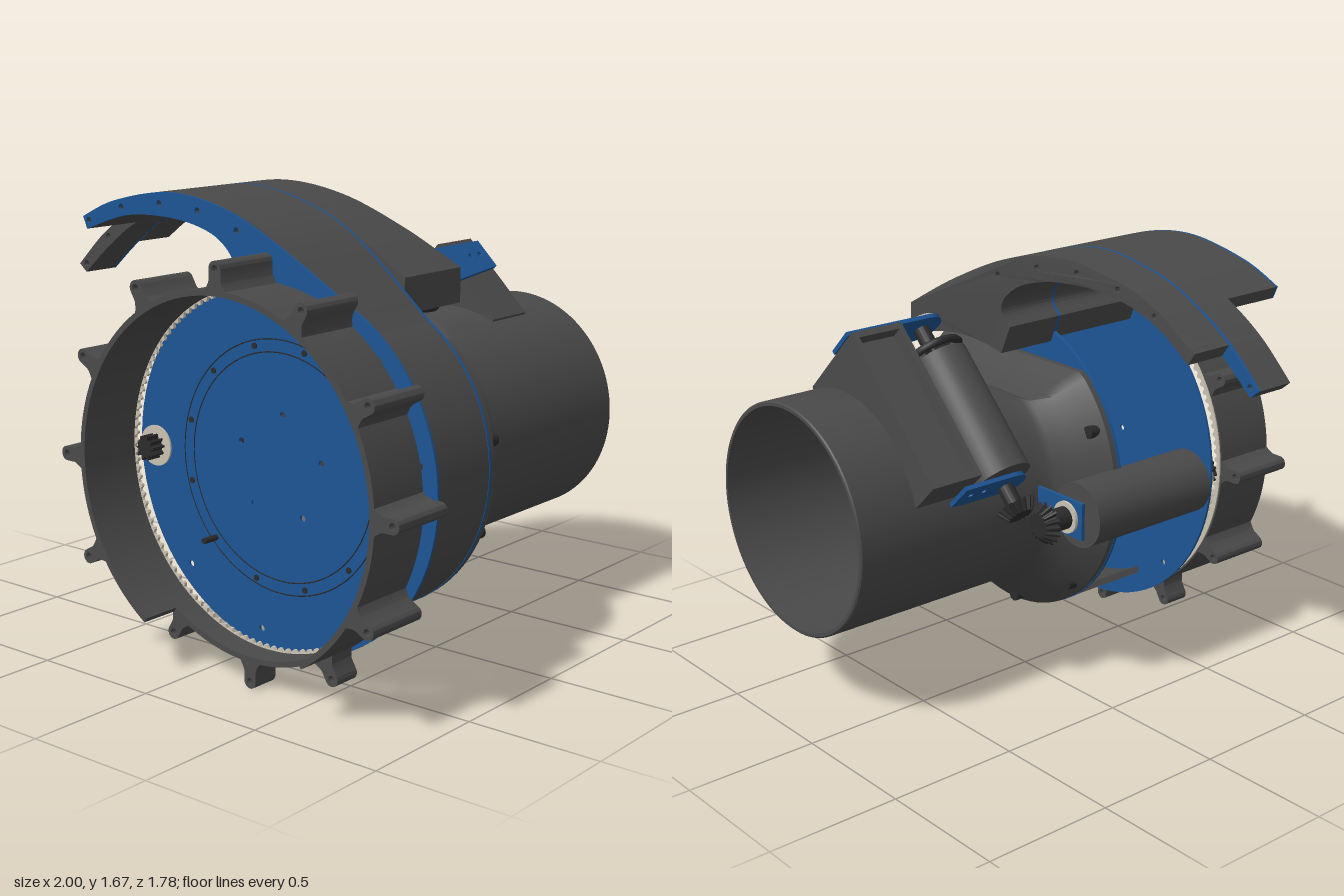
import * as THREE from 'three';
import { toCreasedNormals } from 'three/addons/utils/BufferGeometryUtils.js';

const CX = 0.247, CY = 0.752, RAD = Math.PI / 180;
const A0 = 56.5 * RAD, A1 = 111.8 * RAD; // where the tail meets the drum
const mat = (color) => new THREE.MeshStandardMaterial({ color, side: THREE.DoubleSide });
const DARK = mat(0x4a4a4a), BLUE = mat(0x1d5594), PALE = mat(0xcac2b2), BLACK = mat(0x2b2b2b);

const v2 = (list) => list.map(([x, y]) => new THREE.Vector2(x, y));
const polar = (r, a) => [CX + r * Math.cos(a), CY + r * Math.sin(a)];

// Tail outline: outer edge left to right, inner edge right to left
const OUTER = [[-1, 1.32], [-0.86, 1.45], [-0.7, 1.55], [-0.53, 1.62], [-0.26, 1.665], [0, 1.625], [0.25, 1.515]];
const INNER = [[0, 1.37], [0.04, 1.42], [0.02, 1.48], [-0.07, 1.54], [-0.24, 1.575], [-0.47, 1.57],
  [-0.68, 1.505], [-0.83, 1.405], [-0.965, 1.29]];
const TAIL_HOLES = [[0.056, 1.555], [-0.125, 1.61], [-0.31, 1.622], [-0.5, 1.597], [-0.67, 1.537], [-0.838, 1.44], [-0.962, 1.325]];

function createMesh(parent, name, geo, material, crease = 0.5) {
  const m = new THREE.Mesh(crease ? toCreasedNormals(geo, crease) : geo, material);
  m.name = name;
  parent.add(m);
  return m;
}

function extrude(shape, z0, z1, curveSegments = 32) {
  return new THREE.ExtrudeGeometry(shape, { depth: z1 - z0, bevelEnabled: false, curveSegments }).translate(0, 0, z0);
}

// Cylinder lying along z
function rod(x, y, r, z0, z1, n = 32) {
  return new THREE.CylinderGeometry(r, r, z1 - z0, n).rotateX(Math.PI / 2).translate(x, y, (z0 + z1) / 2);
}

function punch(shape, points, r = 0.012) {
  for (const [x, y] of points) {
    const h = new THREE.Path();
    h.absarc(x, y, r, 0, Math.PI * 2, true);
    shape.holes.push(h);
  }
}

// Drum and tail outline; innerR turns the disc into a wall, open on one side
function scrollShape(r, short, innerR) {
  const outer = short ? OUTER.slice(2) : OUTER;
  const inner = short ? INNER.slice(0, 7) : INNER;
  const s = new THREE.Shape();
  s.moveTo(...outer[0]);
  s.splineThru(v2([...outer.slice(1), polar(r, A0)]));
  if (innerR) {
    s.absarc(CX, CY, r, A0, -120 * RAD, true);
    s.absarc(CX, CY, innerR, -120 * RAD, A1, false);
  } else s.absarc(CX, CY, r, A0, A1 - Math.PI * 2, true);
  s.lineTo(...inner[0]);
  s.splineThru(v2(inner.slice(1)));
  s.closePath();
  punch(s, short ? TAIL_HOLES.slice(0, 5) : TAIL_HOLES);
  return s;
}

function toothPoints(n, r0, r1) {
  const pts = [];
  for (let i = 0; i < n * 4; i++) {
    const a = (i / (n * 4)) * Math.PI * 2, r = i % 4 < 2 ? r1 : r0;
    pts.push(new THREE.Vector2(r * Math.cos(a), r * Math.sin(a)));
  }
  return pts;
}

// Gear around z from 0 to depth; taper scales the far end for a bevel gear
function gear(n, r0, r1, depth, taper = 1) {
  const g = extrude(new THREE.Shape(toothPoints(n, r0, r1)), 0, depth);
  const p = g.attributes.position;
  for (let i = 0; i < p.count; i++) {
    const k = p.getZ(i) > depth / 2 ? taper : 1;
    p.setXY(i, p.getX(i) * k, p.getY(i) * k);
  }
  return g;
}

function arcBand(r0, r1, a0, a1) {
  const s = new THREE.Shape();
  s.absarc(0, 0, r1, a0, a1, false);
  s.absarc(0, 0, r0, a1, a0, true);
  return s;
}

function buildRing(parent) {
  const ring = new THREE.Group();
  ring.name = 'lugRing';
  ring.position.set(CX, CY, 0);
  parent.add(ring);
  createMesh(ring, 'ringBase', extrude(arcBand(0.636, 0.656, 0, Math.PI * 2), 0.637, 0.74, 64), DARK);
  createMesh(ring, 'ringWall', extrude(arcBand(0.636, 0.656, -57 * RAD, 237 * RAD), 0.74, 0.89, 64), DARK);
  // internal ring gear
  const teeth = new THREE.Shape();
  teeth.absarc(0, 0, 0.65, 0, Math.PI * 2, false);
  teeth.holes.push(new THREE.Path(toothPoints(120, 0.622, 0.634)));
  createMesh(ring, 'ringGear', extrude(teeth, 0.632, 0.645, 64), PALE);
  // twelve lugs, three of them short
  for (let i = 0; i < 12; i++) {
    const lug = new THREE.Shape();
    lug.moveTo(0.645, -0.052);
    lug.quadraticCurveTo(0.675, -0.028, 0.69, -0.026);
    lug.absarc(0.726, 0, 0.026, -Math.PI / 2, Math.PI / 2, false);
    lug.lineTo(0.69, 0.026);
    lug.quadraticCurveTo(0.675, 0.028, 0.645, 0.052);
    punch(lug, [[0.726, 0]], 0.013);
    const short = i >= 8 && i <= 10;
    createMesh(ring, 'lug', extrude(lug, 0.637, short ? 0.74 : 0.89, 10), DARK).rotation.z = i * 30 * RAD;
  }
}

function buildHousing(g) {
  // front plate with its holes
  const front = scrollShape(0.668, true);
  punch(front, [78, 45, 10, -26, -62, -98.5, -135].map((a) => polar(0.605, a * RAD)));
  punch(front, [0, 1, 2, 3, 4].map((i) => polar(0.19, (14 + 72 * i) * RAD)));
  createMesh(g, 'frontPlate', extrude(front, 0.565, 0.575), BLUE);
  for (const r of [0.45, 0.405])
    createMesh(g, 'hubLine', new THREE.TorusGeometry(r, 0.0022, 4, 96).translate(CX, CY, 0.575), BLACK, 0);
  for (let i = 0; i < 12; i++) {
    const [x, y] = polar(0.43, (15 + 30 * i) * RAD);
    createMesh(g, 'hubBolt', rod(x, y, 0.011, 0.57, i === 7 ? 0.64 : 0.579, 12), BLACK);
  }
  // scroll wall in two depths, then the middle plate
  createMesh(g, 'scrollWallFront', extrude(scrollShape(0.592, true, 0.567), 0.32, 0.565), DARK);
  createMesh(g, 'scrollWallBack', extrude(scrollShape(0.592, false, 0.567), 0.175, 0.32), DARK);
  const middle = scrollShape(0.594, false);
  punch(middle, [[CX, CY]], 0.45);
  createMesh(g, 'middlePlate', extrude(middle, 0.163, 0.175), BLUE);

  // ramp behind the tail, deepening to the right
  const ramp = new THREE.Shape();
  ramp.moveTo(...OUTER[1]);
  ramp.splineThru(v2([...OUTER.slice(2), [0.465, 1.385]]));
  ramp.absarc(CX, CY, 0.55, 66.6 * RAD, A1, false);
  ramp.lineTo(...INNER[0]);
  ramp.splineThru(v2(INNER.slice(1, 8)));
  ramp.closePath();
  punch(ramp, TAIL_HOLES.slice(0, 5));
  const geo = extrude(ramp, 0, 1), p = geo.attributes.position;
  for (let i = 0; i < p.count; i++) {
    const t = Math.max(0, (p.getX(i) + 0.865) / 1.33), back = -0.17 * t * t;
    p.setZ(i, back + (0.163 - back) * p.getZ(i));
  }
  createMesh(g, 'ramp', geo, DARK);
}

// Cone and outlet pipe, flattened on top where the ramp passes
function buildPipe(g) {
  const prof = [[0.575, 0.163], [0.592, 0.163], [0.592, 0.14], [0.55, 0.094], [0.5, 0.038], [0.45, -0.018], [0.437, -0.045],
    [0.435, -0.1], [0.435, -0.15], [0.435, -0.2], [0.435, -0.885], [0.43, -0.89], [0.418, -0.89], [0.418, -0.2], [0.418, -0.15],
    [0.418, -0.1], [0.42, -0.045], [0.433, -0.018], [0.483, 0.038], [0.533, 0.094], [0.575, 0.14], [0.575, 0.163]];
  const geo = new THREE.LatheGeometry(v2(prof), 96).rotateX(Math.PI / 2).translate(CX, CY, 0);
  const p = geo.attributes.position;
  for (let i = 0; i < p.count; i++) {
    const z = p.getZ(i), inside = (i % prof.length) > 11 ? 0.015 : 0;
    const top = z > 0 ? 1.08 + Math.min(0.11, z * 0.79) : 1.08 + Math.max(0, -z * 0.55);
    if (z > -0.21) p.setY(i, Math.min(p.getY(i), top - inside));
  }
  createMesh(g, 'outletPipe', geo, DARK);
  for (let i = 0; i < 10; i++) {
    const a = (10 + 36 * i) * RAD, [x, y] = polar(0.555, a);
    if (y < 1.1) createMesh(g, 'coneBolt', rod(x, y, 0.024, 0.085, 0.15, 16), BLACK);
  }
}

function buildDrives(g) {
  // ring drive: motor along z, pinion in front, bevel gear behind
  const X = -0.345, Y = 0.742;
  createMesh(g, 'ringMotor', rod(X - 0.015, Y, 0.122, -0.06, 0.5), DARK);
  createMesh(g, 'bearingFront', rod(X, Y, 0.075, 0.57, 0.582), PALE);
  createMesh(g, 'pinion', gear(10, 0.032, 0.046, 0.065).translate(X, Y, 0.575), BLACK);
  createMesh(g, 'rearBracket', new THREE.BoxGeometry(0.32, 0.14, 0.014).translate(-0.265, Y, -0.09), BLUE);
  createMesh(g, 'bearingRear', rod(X, Y, 0.06, -0.108, -0.096), PALE);
  createMesh(g, 'rearShaft', rod(X, Y, 0.042, -0.2, -0.1), BLACK);
  createMesh(g, 'bevelGear', gear(16, 0.066, 0.08, 0.04, 0.65).rotateX(Math.PI).translate(X, Y, -0.195), BLACK);

  // cross drive, tilted 45 degrees against the pipe: local x runs along the motor
  const d = new THREE.Group();
  d.name = 'crossDrive';
  d.position.set(CX, CY, 0);
  d.rotation.z = Math.PI / 4;
  g.add(d);
  const V = 0.41, Z = -0.28;
  const along = (r, u0, u1, n = 32) => new THREE.CylinderGeometry(r, r, u1 - u0, n).rotateZ(Math.PI / 2).translate((u0 + u1) / 2, V, Z);
  createMesh(d, 'crossMotor', along(0.115, -0.22, 0.29), DARK);
  createMesh(d, 'motorShaft', along(0.03, -0.36, 0.43), BLACK);
  createMesh(d, 'wheelRim', new THREE.TorusGeometry(0.1, 0.016, 8, 40).rotateY(Math.PI / 2).translate(0.32, V, Z), BLACK, 0);
  for (let i = 0; i < 3; i++)
    createMesh(d, 'wheelSpokes', new THREE.BoxGeometry(0.04, 0.2, 0.02).rotateX(i * Math.PI / 3).translate(0.315, V, Z), BLACK);
  createMesh(d, 'crossBevelGear', gear(16, 0.062, 0.076, 0.04, 0.65).rotateY(-Math.PI / 2).translate(-0.33, V, Z), BLACK);

  // round-ended plates at both ends of the motor
  const plate = (u, end, name) => {
    const s = new THREE.Shape();
    s.absarc(-Z, 0, 0.082, Math.PI / 2, Math.PI * 1.5, false);
    s.lineTo(end, -0.045);
    s.lineTo(end, 0.082);
    punch(s, [[end - 0.05, 0.02], [end - 0.11, 0.02]], 0.011);
    createMesh(d, name, extrude(s, 0, 0.016).rotateY(Math.PI / 2).translate(u, V, 0), BLUE);
  };
  plate(0.425, 0.645, 'mountArm');
  plate(-0.25, 0.5, 'gearPlate');
  createMesh(d, 'bearingDisc', along(0.07, 0.441, 0.452), PALE);
  createMesh(d, 'hexHead', along(0.034, 0.452, 0.462, 6), mat(0x9a9a9a), 0.3);

  // saddle block on the pipe with a raised rim around its recess
  const s = new THREE.Shape();
  s.moveTo(-0.22, 0.372);
  s.absarc(0, 0, 0.432, Math.atan2(0.372, -0.22), 20 * RAD, true);
  s.lineTo(0.42, 0.15);
  s.lineTo(0.42, 0.47);
  s.lineTo(-0.22, 0.47);
  createMesh(d, 'saddleBlock', extrude(s, -0.645, -0.43), DARK);
  const bar = (w, depth, u, z) => createMesh(d, 'saddleRim', new THREE.BoxGeometry(w, 0.052, depth).translate(u, 0.494, z), DARK);
  for (const z of [-0.635, -0.44]) bar(0.64, 0.02, 0.1, z);
  for (const u of [-0.208, 0.408]) bar(0.024, 0.215, u, -0.5375);
}

export function createModel() {
  const g = new THREE.Group();
  g.name = 'scrollLauncher';
  buildHousing(g);
  buildPipe(g);
  buildRing(g);
  buildDrives(g);
  return g;
}
